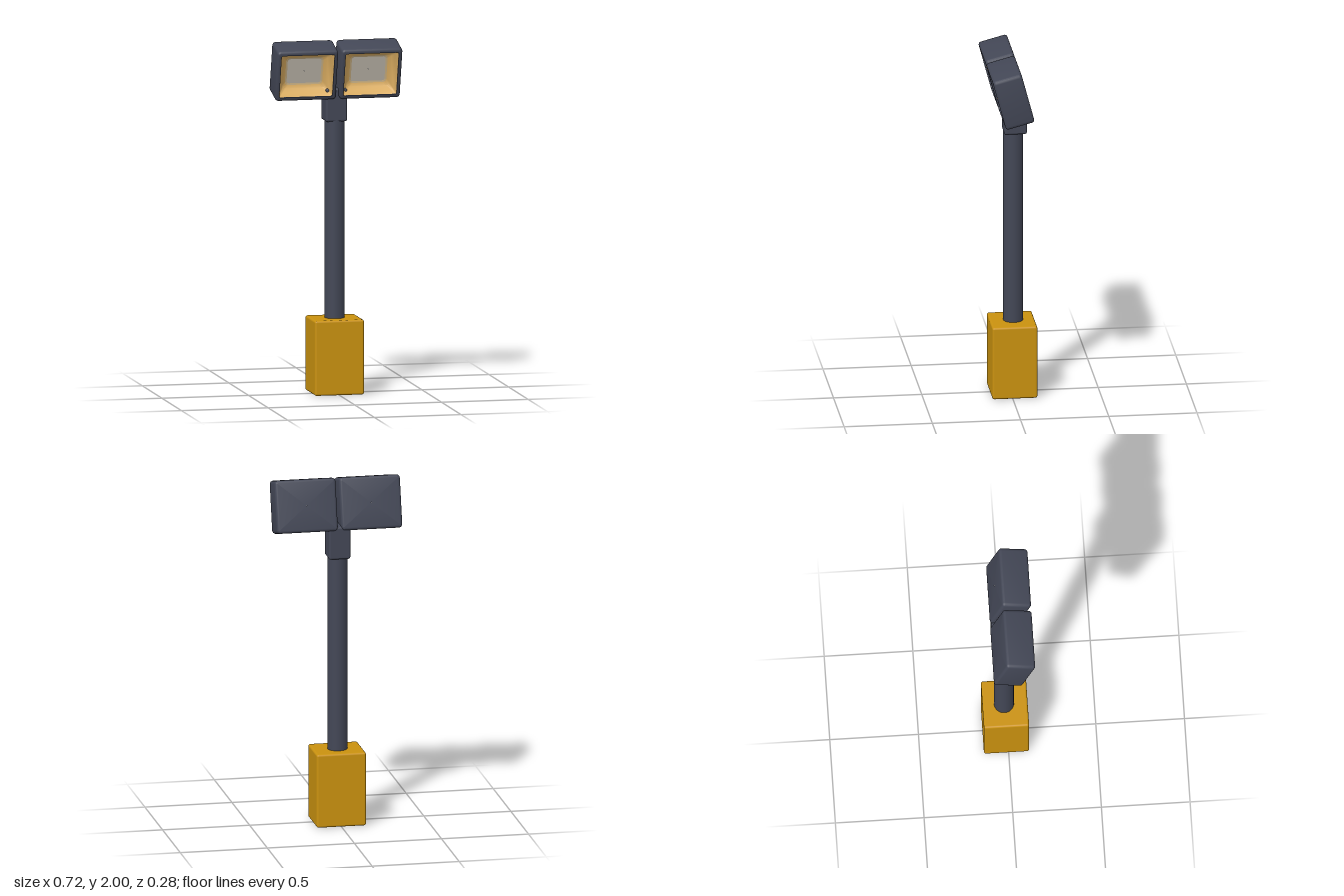
import * as THREE from 'three';
import { toCreasedNormals } from 'three/addons/utils/BufferGeometryUtils.js';
import { RoundedBoxGeometry } from 'three/addons/geometries/RoundedBoxGeometry.js';

const paint = (name, color) => {
  const m = new THREE.MeshStandardMaterial({ color });
  m.name = name;
  return m;
};

function addMesh(parent, name, geometry, material, x = 0, y = 0, z = 0) {
  const mesh = new THREE.Mesh(geometry, material);
  mesh.name = name;
  mesh.position.set(x, y, z);
  parent.add(mesh);
  return mesh;
}

// Skin a row of rounded rectangles, each [width, height, z, corner radius]
function loft(sections) {
  const steps = 4, count = 4 * (steps + 1);
  const positions = [], index = [];
  for (const [w, h, z, r] of sections) {
    for (let c = 0; c < 4; c++) {
      const sx = c === 0 || c === 3 ? 1 : -1, sy = c < 2 ? 1 : -1;
      for (let k = 0; k <= steps; k++) {
        const a = (c + k / steps) * Math.PI / 2;
        positions.push(sx * (w / 2 - r) + r * Math.cos(a), sy * (h / 2 - r) + r * Math.sin(a), z);
      }
    }
  }
  for (let i = 0; i < sections.length - 1; i++) {
    for (let j = 0; j < count; j++) {
      const a = i * count + j, b = i * count + (j + 1) % count;
      index.push(a, b, b + count, a, b + count, a + count);
    }
  }
  const g = new THREE.BufferGeometry();
  g.setAttribute('position', new THREE.Float32BufferAttribute(positions, 3));
  g.setIndex(index);
  return toCreasedNormals(g, 0.6);
}

export function createModel() {
  const metal = paint('dark slate metal', 0x434756);
  const yellow = paint('amber base', 0xca920f);
  const gold = paint('warm reflector', 0xdcae62);
  const tan = paint('tan lamp edge', 0xcbb285);
  const glass = paint('pale lamp panel', 0xc2bbaf);

  const model = new THREE.Group();
  model.name = 'floodlightTower';

  // Base, pole and the collar under the lamps
  addMesh(model, 'base', new RoundedBoxGeometry(0.284, 0.426, 0.255, 3, 0.012), yellow, 0, 0.213, -0.012);
  addMesh(model, 'pole', new THREE.CylinderGeometry(0.056, 0.056, 1.16, 32), metal, 0, 1.0, -0.018);
  addMesh(model, 'collar', new RoundedBoxGeometry(0.124, 0.19, 0.128, 3, 0.012), metal, 0, 1.64, -0.026);

  // Housing: closed back, rounded edges, front rim and a short inner lip
  const W = 0.35, H = 0.3, D = 0.168, R = 0.016;
  const openW = 0.306, openH = 0.254;
  const shell = [[0.002, 0.002, -D / 2, 0.0005]];
  for (const side of [-1, 1]) {
    for (let k = 0; k <= 4; k++) {
      const a = (side < 0 ? k : 4 - k) * Math.PI / 8;
      const inset = R * (1 - Math.sin(a));
      shell.push([W - 2 * inset, H - 2 * inset, side * (D / 2 - R + R * Math.cos(a)), R - inset + 0.004]);
    }
  }
  shell.push([openW, openH, D / 2, 0.008], [openW, openH, D / 2 - 0.008, 0.008]);
  const housing = loft(shell);

  // Sloping reflector, softened lamp edge and flat panel
  const front = D / 2 - 0.008, back = D / 2 - 0.08;
  const reflector = loft([
    [openW, openH, front, 0.008],
    [0.285, 0.232, front - 0.03, 0.015],
    [0.25, 0.198, back + 0.012, 0.02],
    [0.215, 0.165, back + 0.003, 0.02],
  ]);
  const lampEdge = loft([[0.215, 0.165, back + 0.003, 0.02], [0.195, 0.147, back, 0.014]]);
  const lampPanel = loft([[0.195, 0.147, back, 0.014], [0.002, 0.002, back, 0.0005]]);

  // Two lamps side by side, tilted towards the ground
  for (const [name, side] of [['leftLamp', 1], ['rightLamp', -1]]) {
    const lamp = new THREE.Group();
    lamp.name = name;
    addMesh(lamp, 'housing', housing, metal);
    addMesh(lamp, 'reflector', reflector, gold);
    addMesh(lamp, 'lampEdge', lampEdge, tan);
    addMesh(lamp, 'lampPanel', lampPanel, glass);
    lamp.position.set(side * 0.185, 1.84, 0.02);
    lamp.rotation.x = 0.26;
    model.add(lamp);
  }
  return model;
}
